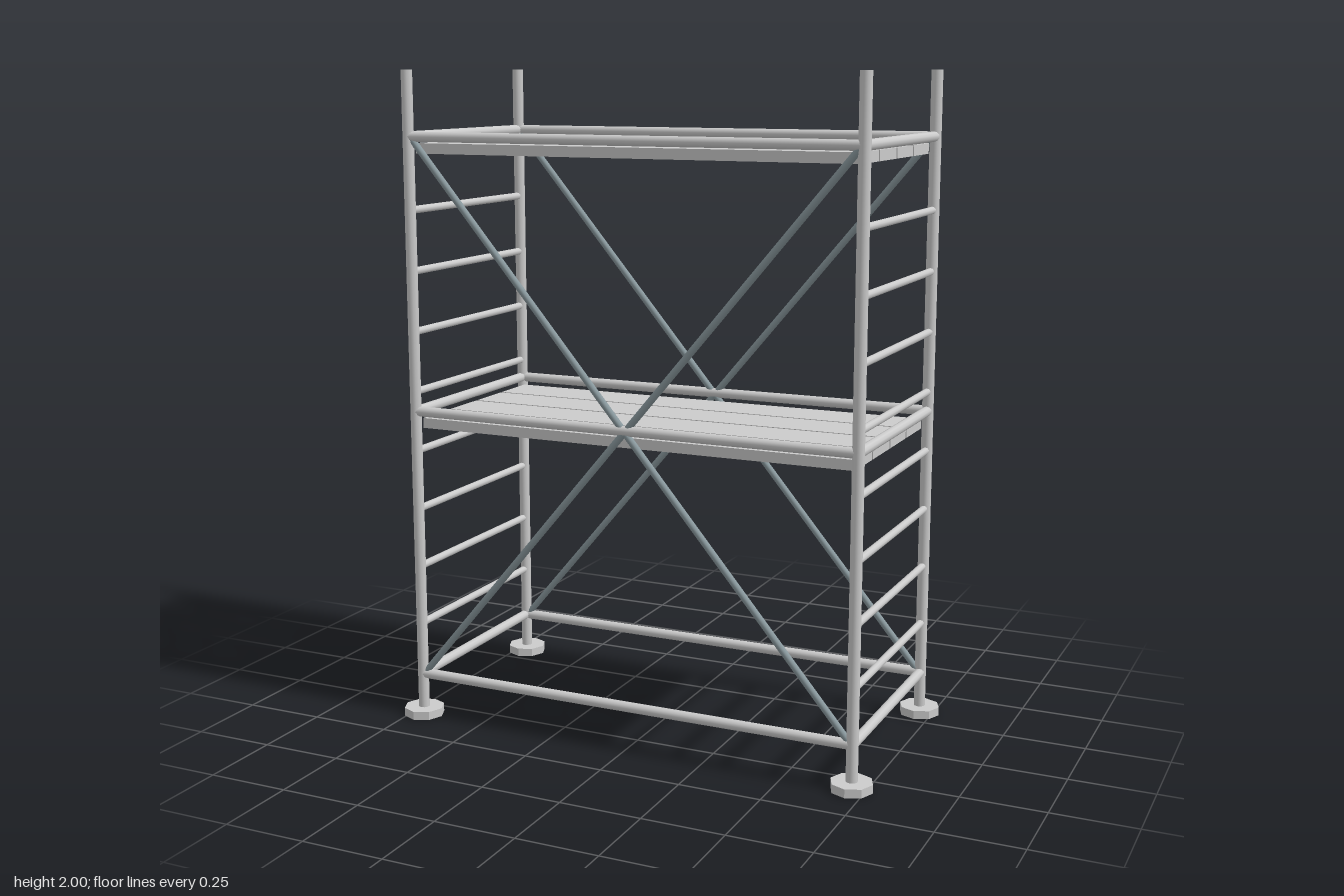
import * as THREE from 'three';

const steel = new THREE.MeshStandardMaterial({ color: 0xcccccc });
const braceSteel = new THREE.MeshStandardMaterial({ color: 0x8a999e });

const POST_X = 0.71, POST_Z = 0.33;
const LEVELS = [0.135, 0.975, 1.805]; // heights of the horizontal rails

export function createModel() {
  const model = new THREE.Group();
  model.name = 'scaffoldTower';

  // Round bar between two points
  function bar(name, a, b, radius, material = steel) {
    const from = new THREE.Vector3(...a), to = new THREE.Vector3(...b);
    const dir = to.clone().sub(from);
    const mesh = new THREE.Mesh(new THREE.CylinderGeometry(radius, radius, dir.length(), 10), material);
    mesh.position.copy(from).add(to).multiplyScalar(0.5);
    mesh.quaternion.setFromUnitVectors(new THREE.Vector3(0, 1, 0), dir.normalize());
    mesh.name = name;
    model.add(mesh);
  }

  // Corner posts on octagonal base plates
  const plateMaterial = steel.clone();
  plateMaterial.flatShading = true;
  for (const sx of [-1, 1]) {
    for (const sz of [-1, 1]) {
      const x = sx * POST_X, z = sz * POST_Z;
      bar('post', [x, 0.01, z], [x, 2, z], 0.0175);
      const plate = new THREE.Mesh(new THREE.CylinderGeometry(0.063, 0.063, 0.026, 8), plateMaterial);
      plate.position.set(x, 0.013, z);
      plate.name = 'basePlate';
      model.add(plate);
    }
  }

  // Long rails and end rails at each level
  for (const y of LEVELS) {
    for (const s of [-1, 1]) {
      bar('longRail', [-POST_X, y, s * POST_Z], [POST_X, y, s * POST_Z], 0.0155);
      bar('endRail', [s * POST_X, y, -POST_Z], [s * POST_X, y, POST_Z], 0.0155);
    }
  }

  // Ladder rungs on both ends
  for (let i = 0; i < 8; i++) {
    const y = 0.299 + i * 0.184;
    for (const s of [-1, 1]) {
      bar('rung', [s * POST_X, y, -POST_Z], [s * POST_X, y, POST_Z], 0.0115);
    }
  }

  // Crossed diagonal braces, front and back
  for (const sz of [-1, 1]) {
    for (const sx of [-1, 1]) {
      bar('diagonalBrace', [-sx * 0.7, 0.14, sz * POST_Z], [sx * 0.7, 1.8, sz * POST_Z], 0.0105, braceSteel);
    }
  }

  // Two decks of four planks
  for (const y of [0.936, 1.77]) {
    const deck = new THREE.Group();
    deck.name = 'deck';
    for (let i = 0; i < 4; i++) {
      const plank = new THREE.Mesh(new THREE.BoxGeometry(1.39, 0.031, 0.15), steel);
      plank.position.set(0, y, (i - 1.5) * 0.159);
      plank.name = 'plank';
      deck.add(plank);
    }
    model.add(deck);
  }

  return model;
}
